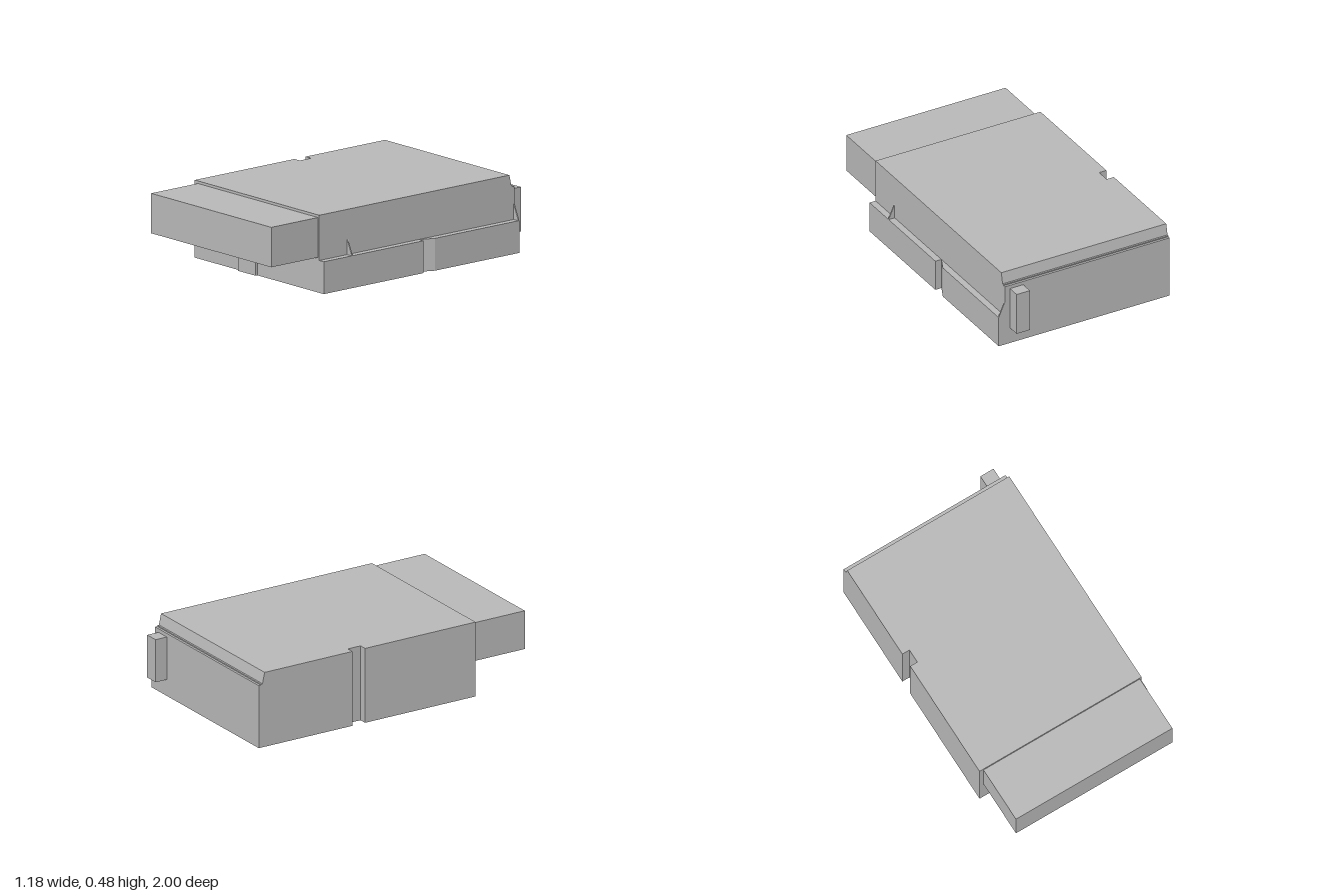
import * as THREE from 'three';

export function createModel() {
  const model = new THREE.Group();
  model.name = 'connectorHousing';
  const grey = new THREE.MeshStandardMaterial({ color: 0xb8b8b8 });
  grey.name = 'grey plastic';

  const add = (name, geometry) => {
    const mesh = new THREE.Mesh(geometry, grey);
    mesh.name = name;
    model.add(mesh);
    return mesh;
  };
  // Box given by its extents on each axis
  const box = (name, x0, x1, y0, y1, z0, z1) => {
    const g = new THREE.BoxGeometry(x1 - x0, y1 - y0, z1 - z0);
    g.translate((x0 + x1) / 2, (y0 + y1) / 2, (z0 + z1) / 2);
    return add(name, g);
  };
  // Plan outline of [x, z] points raised from y0 to y1
  const plan = (points, y0, y1) => {
    const shape = new THREE.Shape(points.map(([x, z]) => new THREE.Vector2(x, -z)));
    const g = new THREE.ExtrudeGeometry(shape, { depth: y1 - y0, bevelEnabled: false });
    g.rotateX(-Math.PI / 2);
    g.translate(0, y0, 0);
    return g;
  };

  const back = -0.92, front = 0.63, side = -0.595, wall = 0.548, ledge = 0.59;
  const slotBack = -0.25, slotFront = -0.16;
  // Side edge with the square slot, shared by every layer
  const slottedEdge = [
    [side, front], [side, slotFront], [-0.545, slotFront],
    [-0.545, slotBack], [side, slotBack], [side, back],
  ];

  // Lower layer with the side ledge and its angled key notch
  add('base', plan([
    ...slottedEdge, [ledge, back], [ledge, slotBack],
    [wall, slotFront], [ledge, slotFront], [ledge, front],
  ], 0, 0.2));

  const upper = [...slottedEdge, [wall, back], [wall, front]];
  add('body', plan(upper, 0.2, 0.403));

  // Top layer, its rear face set in and sloped forward
  const top = plan(upper, 0.403, 0.48);
  const p = top.attributes.position;
  for (let i = 0; i < p.count; i++) {
    if (p.getZ(i) < -0.9) p.setZ(i, p.getY(i) > 0.45 ? -0.878 : -0.895);
  }
  top.computeVertexNormals();
  add('topDeck', top);
  box('rearLip', side, wall, 0.403, 0.41, -0.905, -0.89);

  // Front plug block and the low key below it
  box('plugBlock', -0.567, 0.537, 0.217, 0.464, front - 0.01, 1);
  box('frontKey', -0.18, -0.02, 0, 0.16, front - 0.01, 0.645);

  // Rear latch made of three stacked segments
  const step = 0.275 / 3;
  for (let i = 0; i < 3; i++) {
    box('latchSegment' + (i + 1), 0.42, 0.512, 0.105 + i * step, 0.105 + (i + 1) * step, -1, back + 0.01);
  }

  // Thin triangular ribs standing on the ledge
  const rib = new THREE.Shape([
    new THREE.Vector2(wall - 0.005, 0.2),
    new THREE.Vector2(ledge, 0.2),
    new THREE.Vector2(wall, 0.295),
    new THREE.Vector2(wall - 0.005, 0.295),
  ]);
  for (const [name, z] of [['frontRib', 0.4], ['rearRib', back]]) {
    const g = new THREE.ExtrudeGeometry(rib, { depth: 0.008, bevelEnabled: false });
    g.translate(0, 0, z);
    add(name, g);
  }

  return model;
}
